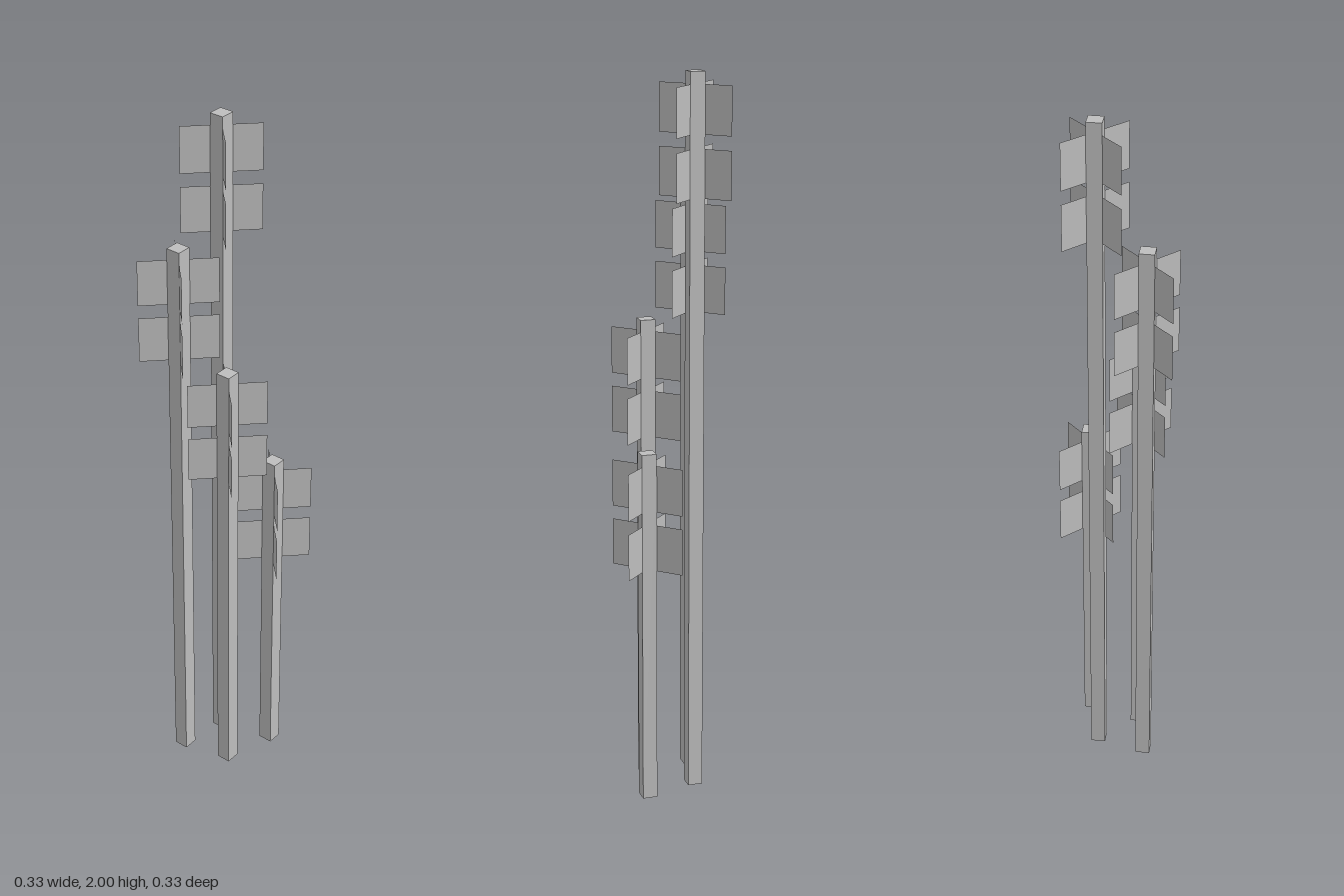
import * as THREE from 'three';

const POST_WIDTH = 0.041;
const PANEL_WIDTH = 0.212;
const PANEL_HEIGHT = 0.13;

export function createModel() {
  const grey = new THREE.MeshStandardMaterial({ color: 0xbdbdbd, side: THREE.DoubleSide });
  grey.name = 'grey';

  const model = new THREE.Group();
  model.name = 'signPosts';
  const panelGeometry = new THREE.PlaneGeometry(PANEL_WIDTH, PANEL_HEIGHT);

  // One square post with two tiers of crossed diagonal panels near its top
  function addPost(x, z, height) {
    const group = new THREE.Group();
    group.name = 'postWithPanels';
    group.position.set(x, 0, z);

    const post = new THREE.Mesh(new THREE.BoxGeometry(POST_WIDTH, height, POST_WIDTH), grey);
    post.name = 'post';
    post.position.y = height / 2;
    group.add(post);

    for (const drop of [0.098, 0.265]) {
      for (const angle of [Math.PI / 4, -Math.PI / 4]) {
        const panel = new THREE.Mesh(panelGeometry, grey);
        panel.name = 'panel';
        panel.position.y = height - drop;
        panel.rotation.y = angle;
        group.add(panel);
      }
    }
    model.add(group);
  }

  // Four posts stepping down in height
  addPost(-0.058, -0.048, 2);
  addPost(-0.09, 0.088, 1.667);
  addPost(0.046, 0.056, 1.333);
  addPost(0.088, -0.09, 1);

  return model;
}
